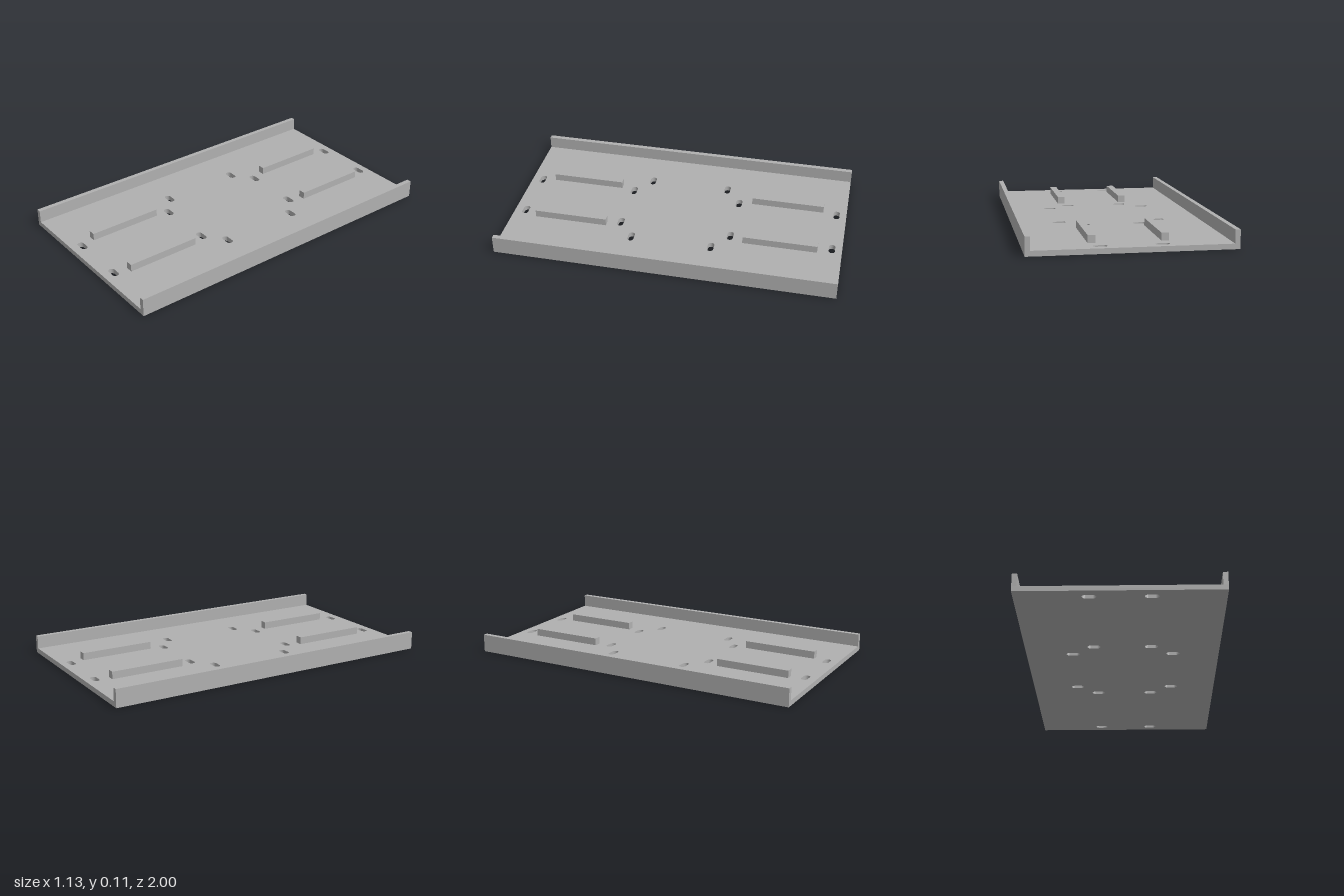
import * as THREE from 'three';

const HALF_W = 0.565, HALF_L = 1, BASE = 0.03, TOP = 0.105, WALL = 0.028;
const OFF_X = 0.003, OFF_Z = -0.003; // slots and rails sit slightly off centre

// Rounded-end slot, long along x
function slot(x, z, length = 0.077, width = 0.037) {
  const r = width / 2, h = length / 2 - r, y = -z;
  const path = new THREE.Path();
  path.moveTo(x - h, y - r);
  path.lineTo(x + h, y - r);
  path.absarc(x + h, y, r, -Math.PI / 2, Math.PI / 2, false);
  path.lineTo(x - h, y + r);
  path.absarc(x - h, y, r, Math.PI / 2, Math.PI * 1.5, false);
  return path;
}

export function createModel() {
  const group = new THREE.Group();
  const grey = new THREE.MeshStandardMaterial({ color: 0xb0b0b0 });
  grey.name = 'grey';

  const add = (name, geometry, x, y, z) => {
    const mesh = new THREE.Mesh(geometry, grey);
    mesh.name = name;
    mesh.position.set(x, y, z);
    group.add(mesh);
  };

  // Base plate with twelve slots, three in each quarter
  const plate = new THREE.Shape([
    new THREE.Vector2(-HALF_W, -HALF_L), new THREE.Vector2(HALF_W, -HALF_L),
    new THREE.Vector2(HALF_W, HALF_L), new THREE.Vector2(-HALF_W, HALF_L),
  ]);
  for (const sx of [-1, 1]) {
    for (const sz of [-1, 1]) {
      for (const [x, z] of [[0.166, 0.937], [0.166, 0.335], [0.293, 0.24]]) {
        plate.holes.push(slot(sx * x + OFF_X, sz * z + OFF_Z));
      }
    }
  }
  const plateGeometry = new THREE.ExtrudeGeometry(plate, {
    depth: BASE, bevelEnabled: false, curveSegments: 10,
  });
  plateGeometry.rotateX(-Math.PI / 2);
  add('basePlate', plateGeometry, 0, 0, 0);

  for (const sx of [-1, 1]) {
    const side = sx > 0 ? 'left' : 'right';

    // Side wall along the full length
    add(`${side}Wall`, new THREE.BoxGeometry(WALL, TOP - BASE, HALF_L * 2),
      sx * (HALF_W - WALL / 2), (TOP + BASE) / 2, 0);

    // Raised rails, front and back
    for (const sz of [-1, 1]) {
      add(`${side}${sz > 0 ? 'Front' : 'Back'}Rail`, new THREE.BoxGeometry(0.042, 0.043, 0.44),
        sx * 0.198 + OFF_X, BASE + 0.0215, sz * 0.635 + OFF_Z);
    }
  }
  return group;
}
